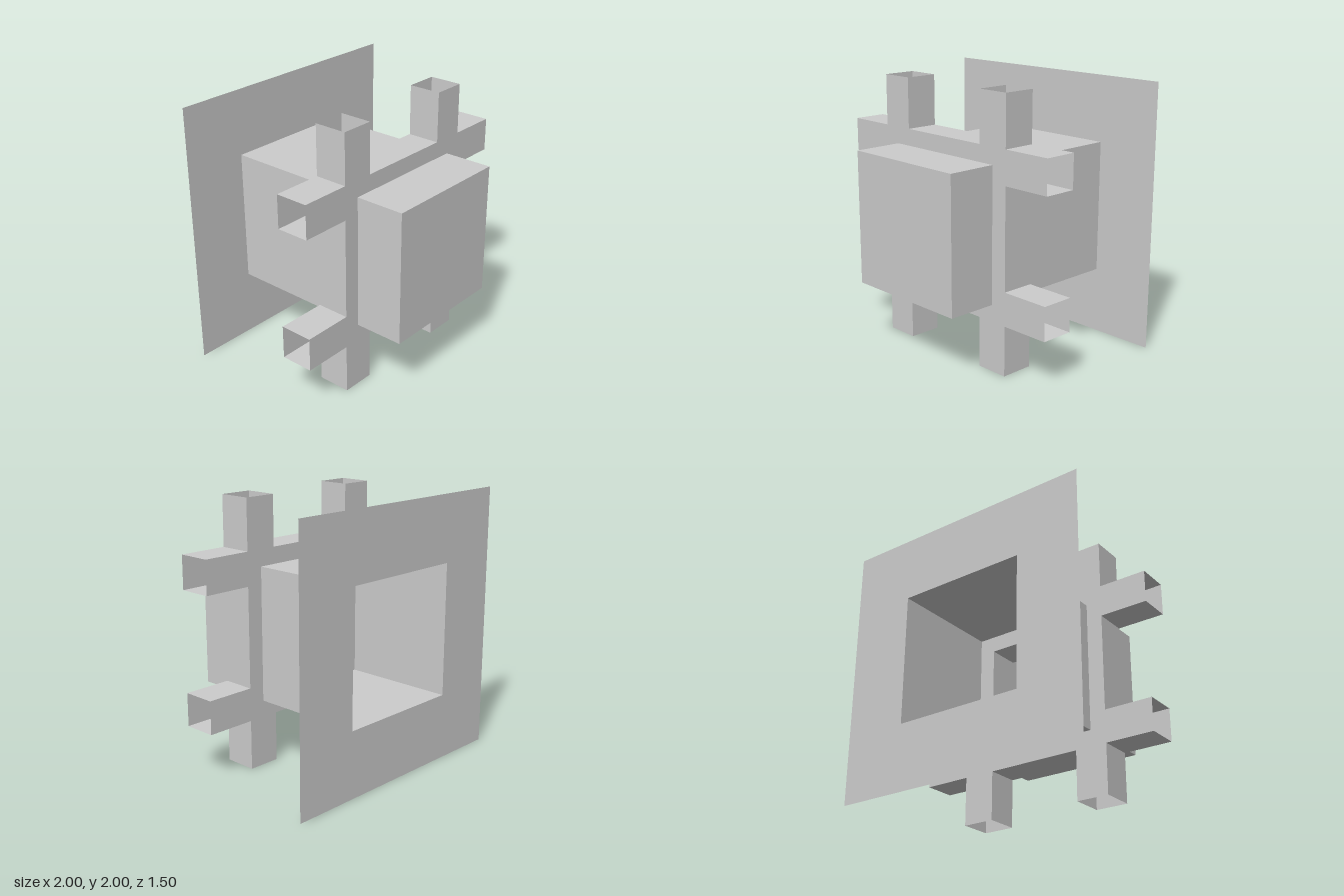
import * as THREE from 'three';

const material = new THREE.MeshStandardMaterial({ color: 0xcccccc, flatShading: true, side: THREE.DoubleSide });

// Counter-clockwise square outline of half-size h
const square = (h) => [[-h, -h], [h, -h], [h, h], [-h, h]];
const vectors = (points) => points.map(([x, y]) => new THREE.Vector2(x, y));

// Open sheet walls: sweeps a path from z0 to z1
function walls(path, z0, z1) {
  const positions = [];
  for (let i = 0; i < path.length - 1; i++) {
    const [a, b] = path[i], [c, d] = path[i + 1];
    positions.push(a, b, z0, c, d, z0, c, d, z1, a, b, z0, c, d, z1, a, b, z1);
  }
  const geometry = new THREE.BufferGeometry();
  geometry.setAttribute('position', new THREE.Float32BufferAttribute(positions, 3));
  geometry.computeVertexNormals();
  return geometry;
}

const closed = (points) => [...points, points[0]];

// Flat sheet at depth z, facing front or back, with an optional square hole
function sheet(outline, holeHalf, z, facesBack = false) {
  const shape = new THREE.Shape(vectors(outline));
  if (holeHalf) shape.holes.push(new THREE.Path(vectors(square(holeHalf).reverse())));
  const geometry = new THREE.ShapeGeometry(shape);
  if (facesBack) geometry.rotateY(Math.PI);
  return geometry.translate(0, 0, z);
}

export function createModel() {
  const model = new THREE.Group();
  model.name = 'hollowLatticeBox';
  const part = (name, parent, geometry) => {
    const mesh = new THREE.Mesh(geometry, material);
    mesh.name = name;
    parent.add(mesh);
  };
  const group = (name) => {
    const g = new THREE.Group();
    g.name = name;
    g.position.y = 1;
    model.add(g);
    return g;
  };

  const inner = 0.375, outer = 0.625, box = 0.5;
  const latticeBack = 0.125, latticeFront = 0.375;

  // Thin back plate and the tunnel leading in from its opening
  const rear = group('rear');
  part('backPlate', rear, sheet(square(1), box, -0.75, true));
  part('tunnelWalls', rear, walls(closed(square(box)), -0.75, latticeBack));

  // Four crossing hollow bars with open ends
  const lattice = group('lattice');
  const notch = [[1, -inner], [outer, -inner], [outer, inner], [1, inner]];
  const corner = [[1, outer], [outer, outer], [outer, 1]];
  const outline = [];
  for (let i = 0; i < 4; i++) {
    const turn = (points) => points.map(([x, y]) => [[x, y], [-y, x], [-x, -y], [y, -x]][i]);
    outline.push(...turn(notch), ...turn(corner));
    part('barSideWalls', lattice, walls(turn(notch), latticeBack, latticeFront));
    part('barCornerWalls', lattice, walls(turn(corner), latticeBack, latticeFront));
  }
  part('latticeFrontFace', lattice, sheet(outline, inner, latticeFront));
  part('latticeBackFace', lattice, sheet(outline, inner, latticeBack, true));
  part('latticeInnerWalls', lattice, walls(closed(square(inner).reverse()), latticeBack, latticeFront));

  // Hollow front box, closed at the front and open towards the lattice
  const front = group('frontBox');
  part('frontBoxWalls', front, walls(closed(square(box)), latticeFront, 0.75));
  part('frontPanel', front, sheet(square(box), 0, 0.75));

  return model;
}
